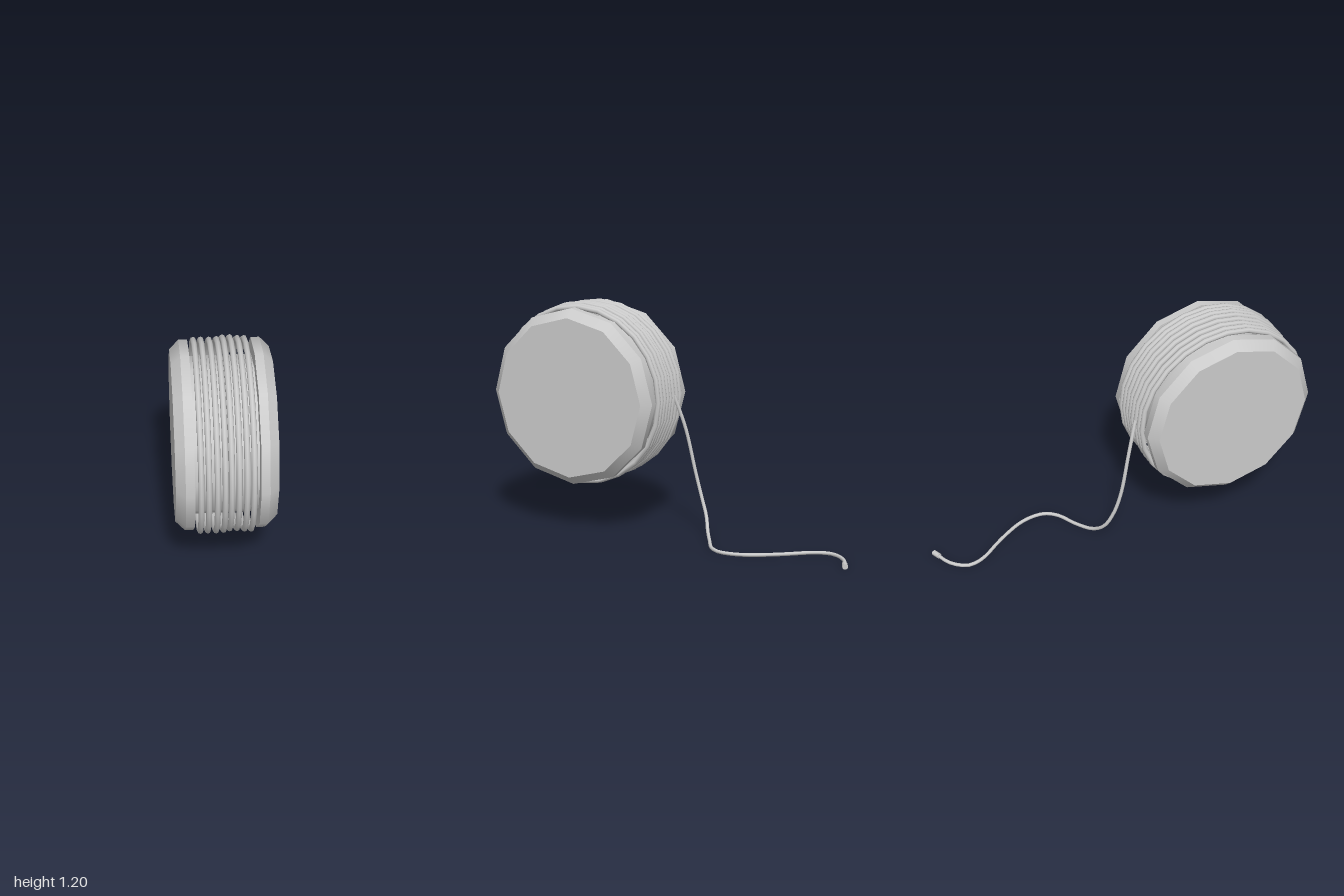
import * as THREE from 'three';

const CENTER_Y = 0.723, CENTER_Z = 0.525;

export function createModel() {
  const model = new THREE.Group();
  model.name = 'ropeSpool';
  const material = new THREE.MeshStandardMaterial({ color: 0xcccccc });

  const add = (name, geometry, parent) => {
    const mesh = new THREE.Mesh(geometry, material);
    mesh.name = name;
    parent.add(mesh);
    return mesh;
  };

  // Spool lies on its side, axis along x
  const spool = new THREE.Group();
  spool.name = 'spool';
  spool.position.set(0, CENTER_Y, CENTER_Z);
  model.add(spool);

  // Twelve-sided drum section between two x positions
  const drum = (name, x0, x1, r0, r1) => {
    const geometry = new THREE.CylinderGeometry(r0, r1, x1 - x0, 12);
    geometry.rotateZ(Math.PI / 2); // top radius ends up at -x
    add(name, geometry, spool).position.x = (x0 + x1) / 2;
  };
  drum('core', -0.17, 0.145, 0.385, 0.385);
  drum('rightFlange', -0.21, -0.167, 0.465, 0.465);
  drum('rightBevel', -0.255, -0.21, 0.42, 0.465);
  drum('leftFlange', 0.138, 0.18, 0.465, 0.465);
  drum('leftBevel', 0.18, 0.225, 0.465, 0.42);

  // Rope turns, each with its small offset in height
  const turns = [
    [-0.139, -0.001], [-0.103, -0.001], [-0.063, -0.003], [-0.027, -0.001],
    [0.002, 0.007], [0.037, 0.007], [0.073, 0.001], [0.106, -0.001],
  ];
  turns.forEach(([x, dy], i) => {
    const geometry = new THREE.TorusGeometry(0.463, 0.014, 8, 24);
    geometry.rotateY(Math.PI / 2);
    add('ropeTurn' + (i + 1), geometry, spool).position.set(x, dy, 0);
  });

  // Loose rope end falling behind the spool and winding over the ground
  const path = [
    [-0.065, 0.74, 0.06], [-0.1, 0.55, 0.005], [-0.115, 0.32, -0.045],
    [-0.106, 0.19, -0.085], [-0.078, 0.1, -0.125], [-0.01, 0.04, -0.165],
    [0.09, 0.019, -0.222], [0.187, 0.018, -0.277], [0.232, 0.018, -0.335],
    [0.239, 0.018, -0.4], [0.22, 0.018, -0.485], [0.17, 0.018, -0.58],
    [0.11, 0.018, -0.67], [0.05, 0.018, -0.75], [0.022, 0.018, -0.81],
    [0.018, 0.018, -0.86], [0.045, 0.018, -0.91], [0.09, 0.018, -0.95],
    [0.17, 0.018, -0.984],
  ].map((p) => new THREE.Vector3(...p));
  const curve = new THREE.CatmullRomCurve3(path);
  add('looseRope', new THREE.TubeGeometry(curve, 54, 0.0095, 8), model);

  // Crimped tip on the rope end
  const tip = add('ropeTip', new THREE.CylinderGeometry(0.0145, 0.0145, 0.043, 8), model);
  tip.position.set(0.168, 0.018, -0.983);
  tip.quaternion.setFromUnitVectors(
    new THREE.Vector3(0, 1, 0),
    new THREE.Vector3(0.9, 0, -0.4).normalize()
  );

  return model;
}
